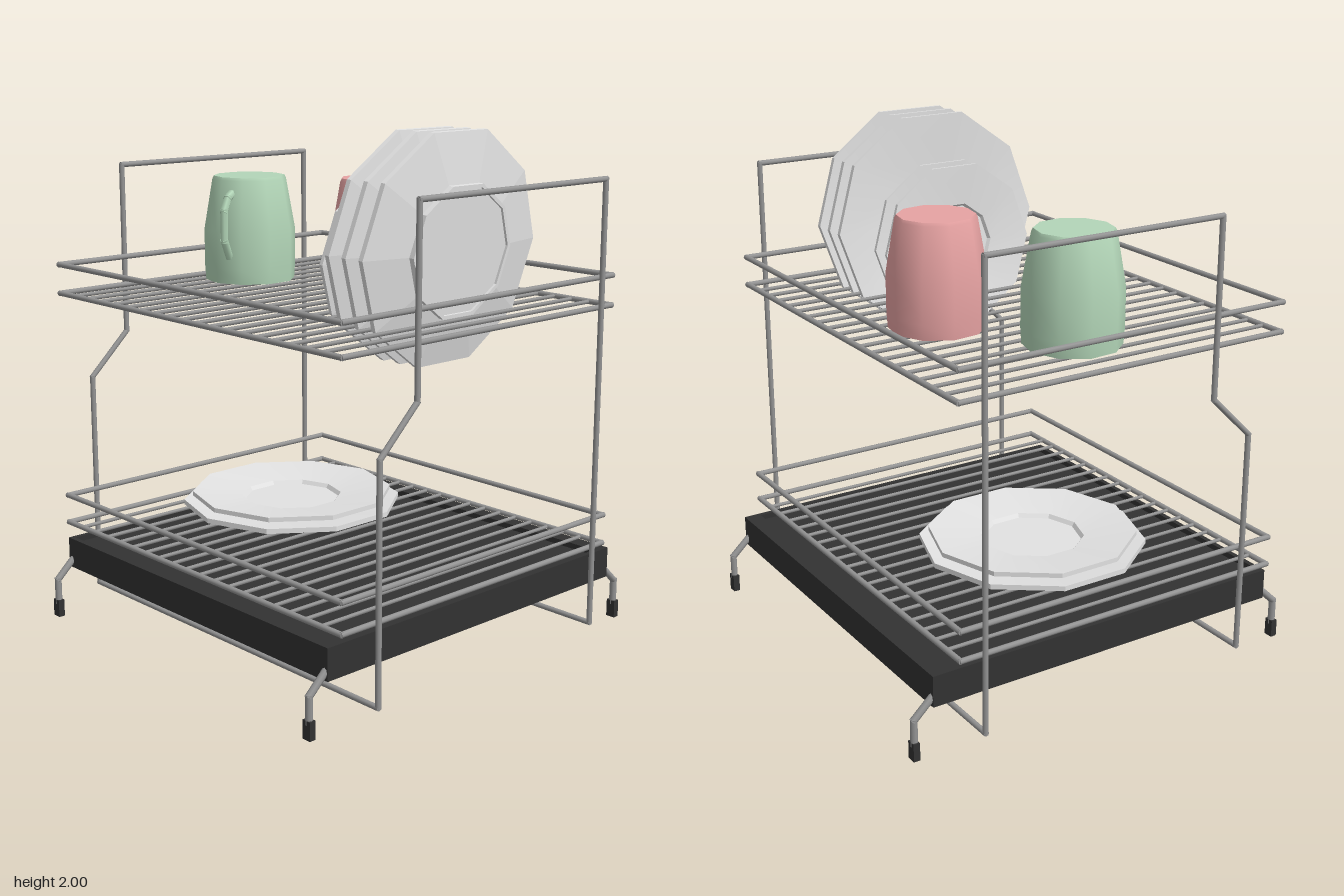
import * as THREE from 'three';
import { toCreasedNormals } from 'three/addons/utils/BufferGeometryUtils.js';

const mat = (name, color) => {
  const m = new THREE.MeshStandardMaterial({ color });
  m.name = name;
  return m;
};
const V = (x, y, z) => new THREE.Vector3(x, y, z);

export function createModel() {
  const steel = mat('steel wire', 0x959595);
  const black = mat('black plastic', 0x323232);
  const china = mat('pale china', 0xe2e2e2);
  const green = mat('green glaze', 0xb3d6b8);
  const pink = mat('pink glaze', 0xeaa5a5);

  const model = new THREE.Group();
  model.name = 'dishRack';

  const group = (name, parent = model) => {
    const g = new THREE.Group();
    g.name = name;
    parent.add(g);
    return g;
  };
  const add = (name, geo, material, parent, x = 0, y = 0, z = 0) => {
    const m = new THREE.Mesh(geo, material);
    m.name = name;
    m.position.set(x, y, z);
    parent.add(m);
    return m;
  };
  // Straight rods along a path, overlapping slightly at the bends
  const wire = (name, pts, r, material, parent, sides = 8) => {
    for (let i = 0; i < pts.length - 1; i++) {
      const d = pts[i + 1].clone().sub(pts[i]);
      const rod = add(name, new THREE.CylinderGeometry(r, r, d.length() + r, sides), material, parent);
      rod.position.copy(pts[i]).addScaledVector(d, 0.5);
      rod.quaternion.setFromUnitVectors(V(0, 1, 0), d.normalize());
    }
  };
  const lathe = (pts, crease) => toCreasedNormals(
    new THREE.LatheGeometry(pts.map(([r, y]) => new THREE.Vector2(r, y)), 10), crease);

  // Side frames joined by two floor bars
  const frame = group('frame');
  for (const x of [-0.844, 0.844]) {
    wire('sideFrame', [V(x, 0.06, 0.578), V(x, 0.95, 0.578), V(x, 1.12, 0.402),
      V(x, 1.805, 0.402), V(x, 1.805, -0.582), V(x, 0.06, -0.582)], 0.011, steel, frame);
  }
  for (const z of [-0.582, 0.578]) {
    wire('floorBar', [V(-0.844, 0.06, z), V(0.844, 0.06, z)], 0.011, steel, frame);
  }

  // Two wire shelves: lower loop, guard loop and cross bars
  const zBack = -0.67, zFront = 0.73, xs = 0.822;
  for (const [name, y] of [['lowerShelf', 0.365], ['upperShelf', 1.318]]) {
    const shelf = group(name);
    for (const h of [y, y + 0.115]) {
      wire('shelfRail', [V(-xs, h, zBack), V(xs, h, zBack), V(xs, h, zFront),
        V(-xs, h, zFront), V(-xs, h, zBack)], 0.011, steel, shelf);
    }
    for (let i = 0; i < 18; i++) {
      const x = -0.727 + i * 0.085;
      wire('shelfBar', [V(x, y, zBack), V(x, y, zFront)], 0.008, steel, shelf, 6);
    }
  }

  // Drip tray with a low rim and four bent legs
  const tray = group('dripTray');
  add('trayFloor', new THREE.BoxGeometry(1.57, 0.1, 1.52), black, tray, 0, 0.242, 0);
  add('backRim', new THREE.BoxGeometry(1.57, 0.022, 0.065), black, tray, 0, 0.303, -0.7275);
  add('frontRim', new THREE.BoxGeometry(1.57, 0.022, 0.02), black, tray, 0, 0.303, 0.75);
  for (const x of [-0.775, 0.775]) {
    add('sideRim', new THREE.BoxGeometry(0.02, 0.022, 1.435), black, tray, x, 0.303, 0.0225);
  }
  for (const x of [-0.768, 0.768]) {
    for (const s of [-1, 1]) {
      wire('trayLeg', [V(x, 0.06, s * 0.83), V(x, 0.155, s * 0.83), V(x, 0.225, s * 0.755)],
        0.014, steel, tray);
      add('trayFoot', new THREE.BoxGeometry(0.038, 0.07, 0.026), black, tray, x, 0.035, s * 0.83);
    }
  }

  // Plates: ten-sided with a foot ring and a stepped well
  const plateGeo = lathe([[0, 0.01], [0.238, 0.01], [0.238, 0], [0.252, 0], [0.252, 0.022],
    [0.445, 0.055], [0.445, 0.075], [0.222, 0.047], [0.21, 0.03], [0, 0.03]], 0.1);
  const plates = group('plates');
  const plate = (name, x, y, s) => {
    const p = add(name, plateGeo, china, plates, x, y, 0);
    p.scale.setScalar(s);
    return p;
  };
  plate('lyingPlate', -0.268, 0.375, 1);
  plate('stackedPlate', -0.268, 0.416, 0.92);
  const standing = [[0.275, 1.513, 0.733], [0.362, 1.513, 0.733],
    [0.437, 1.577, 1], [0.522, 1.577, 1], [0.607, 1.577, 1]];
  for (const [x, y, s] of standing) {
    plate('standingPlate', x + 0.065 * s, y - 0.005 * s, s).rotation.z = 1.488;
  }

  // Upturned hollow mugs with a bent handle
  const mugGeo = lathe([[0, 0.4], [0.128, 0.4], [0.165, 0.21], [0.165, 0],
    [0.184, 0], [0.188, 0.06], [0.188, 0.21], [0.152, 0.415], [0.146, 0.427], [0, 0.427]], 0.7);
  const mug = (name, material, x, z, dx, dz) => {
    const g = group(name);
    g.position.set(x, 1.33, z);
    g.rotation.y = Math.atan2(-dz, dx);
    add('mugBody', mugGeo, material, g);
    wire('mugHandle', [V(0.145, 0.365, 0), V(0.18, 0.35, 0), V(0.213, 0.3, 0),
      V(0.213, 0.18, 0), V(0.176, 0.115, 0)], 0.017, material, g, 6);
  };
  mug('greenMug', green, -0.545, -0.02, 0.08, 0.2);
  mug('pinkMug', pink, -0.108, -0.325, 0.18, 0.1);

  return model;
}
